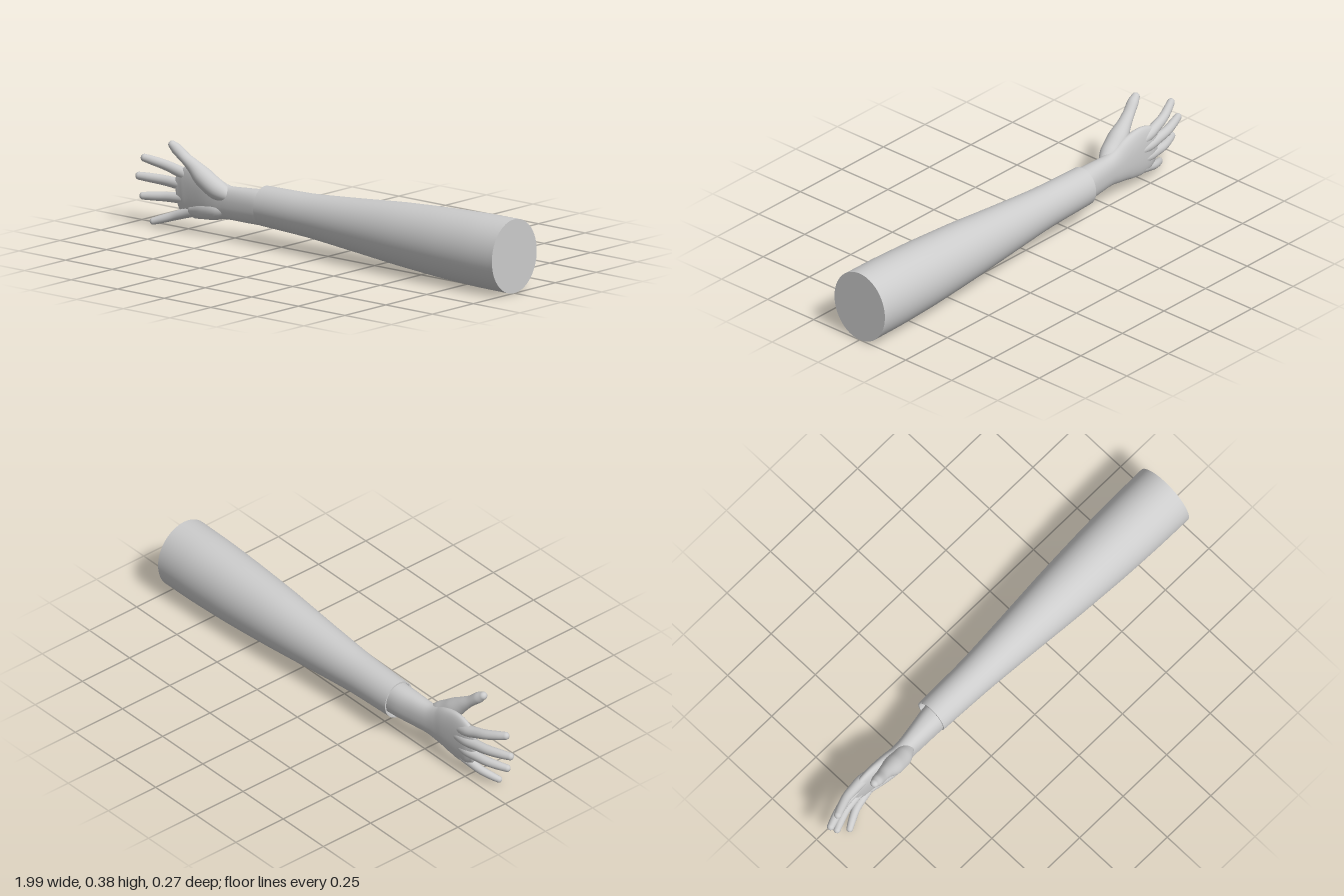
import * as THREE from 'three';

// Smooth loft through sections [x, y, z, half width, half depth]; cap rounds the far end.
function loft(sections, { sides = 24, steps = 5, cap = true, power = 1 } = {}) {
  const path = new THREE.CatmullRomCurve3(sections.map(s => new THREE.Vector3(s[0], s[1], s[2])));
  const size = new THREE.CatmullRomCurve3(sections.map(s => new THREE.Vector3(s[3], s[4], 0)));
  const rings = [];
  const n = (sections.length - 1) * steps;
  for (let i = 0; i <= n; i++) {
    const t = i / n, r = size.getPoint(t);
    const d = path.getPoint(Math.min(1, t + 0.01)).sub(path.getPoint(Math.max(0, t - 0.01))).normalize();
    rings.push({ c: path.getPoint(t), d, a: r.x, b: r.y });
  }
  if (cap) {
    const end = rings[n];
    for (let i = 1; i <= 6; i++) {
      const f = i / 6 * Math.PI / 2, k = Math.max(Math.cos(f), 0.001);
      const c = end.c.clone().addScaledVector(end.d, end.b * Math.sin(f));
      rings.push({ c, d: end.d, a: end.a * k, b: end.b * k });
    }
  }
  const pos = [], index = [];
  const soften = v => Math.sign(v) * Math.abs(v) ** power;
  rings.forEach(({ c, d, a, b }, i) => {
    const side = new THREE.Vector3(0, 0, 1).cross(d).normalize();
    const up = d.clone().cross(side);
    for (let j = 0; j < sides; j++) {
      const q = j / sides * Math.PI * 2;
      const p = c.clone().addScaledVector(side, a * soften(Math.cos(q))).addScaledVector(up, b * soften(Math.sin(q)));
      pos.push(p.x, p.y, p.z);
      if (i === rings.length - 1) continue;
      const k = (j + 1) % sides, r0 = i * sides, r1 = r0 + sides;
      index.push(r0 + j, r0 + k, r1 + j, r0 + k, r1 + k, r1 + j);
    }
  });
  const g = new THREE.BufferGeometry();
  g.setAttribute('position', new THREE.Float32BufferAttribute(pos, 3));
  g.setIndex(index);
  g.computeVertexNormals();
  return g;
}

export function createModel() {
  const model = new THREE.Group();
  model.name = 'arm';
  const grey = new THREE.MeshStandardMaterial({ color: 0xcccccc });
  grey.name = 'plain grey';
  const add = (name, geometry, parent = model) => {
    const mesh = new THREE.Mesh(geometry, grey);
    mesh.name = name;
    parent.add(mesh);
    return mesh;
  };

  // Sleeve, flaring from cuff to shoulder
  add('sleeve', loft([
    [-0.34, 0.158, -0.002, 0.083, 0.073], [-0.1, 0.156, 0, 0.09, 0.08],
    [0.15, 0.155, 0, 0.109, 0.097], [0.4, 0.155, 0, 0.13, 0.116],
    [0.65, 0.154, 0, 0.145, 0.13], [0.85, 0.154, 0, 0.152, 0.136], [1, 0.154, 0, 0.153, 0.137],
  ], { sides: 64, cap: false }));
  const end = add('shoulderEnd', new THREE.CircleGeometry(1, 64));
  end.scale.set(0.137, 0.153, 1);
  end.rotation.y = Math.PI / 2;
  end.position.set(1, 0.154, 0);

  // Cuff: rim, inner wall and the floor of the recess
  const cuff = new THREE.Group();
  cuff.name = 'cuff';
  cuff.position.set(-0.34, 0.158, -0.002);
  cuff.rotation.y = -Math.PI / 2;
  cuff.scale.set(0.073, 0.083, 1);
  model.add(cuff);
  add('cuffRim', new THREE.RingGeometry(0.92, 1, 64), cuff);
  const wall = new THREE.CylinderGeometry(0.92, 0.92, 0.05, 64, 1, true);
  wall.rotateX(Math.PI / 2).translate(0, 0, -0.025).scale(-1, 1, 1);
  const n = wall.attributes.normal;
  for (let i = 0; i < n.count; i++) n.setXYZ(i, -n.getX(i), -n.getY(i), 0);
  add('cuffLining', wall, cuff);
  add('cuffFloor', new THREE.CircleGeometry(0.92, 64).translate(0, 0, -0.05), cuff);

  // Wrist and palm
  const hand = new THREE.Group();
  hand.name = 'hand';
  model.add(hand);
  add('palm', loft([
    [-0.28, 0.152, 0.006, 0.073, 0.058], [-0.35, 0.152, 0.009, 0.073, 0.055],
    [-0.43, 0.15, 0.015, 0.071, 0.047], [-0.51, 0.149, 0.02, 0.069, 0.04],
    [-0.57, 0.152, 0.021, 0.082, 0.037], [-0.63, 0.16, 0.018, 0.1, 0.034],
    [-0.7, 0.163, 0.014, 0.109, 0.028], [-0.755, 0.158, 0.012, 0.097, 0.023],
    [-0.785, 0.155, 0.014, 0.078, 0.016],
  ], { sides: 40, power: 0.88 }), hand);
  add('palmHeel', loft([
    [-0.5, 0.125, 0.025, 0.018, 0.02], [-0.57, 0.107, 0.03, 0.036, 0.034],
    [-0.64, 0.098, 0.026, 0.036, 0.03], [-0.71, 0.088, 0.02, 0.024, 0.02],
  ]), hand);

  // Thumb with its fleshy base
  add('thumb', loft([
    [-0.5, 0.175, 0.03, 0.025, 0.024], [-0.56, 0.203, 0.047, 0.042, 0.042],
    [-0.615, 0.242, 0.058, 0.041, 0.042], [-0.665, 0.285, 0.066, 0.029, 0.03],
    [-0.705, 0.318, 0.076, 0.022, 0.025], [-0.735, 0.345, 0.084, 0.023, 0.024],
    [-0.757, 0.363, 0.089, 0.017, 0.018],
  ]), hand);

  // Fingers: knuckle and tip positions, bending gently forward
  const fingers = [
    ['indexFinger', [-0.77, 0.23, 0.01], [-0.948, 0.28, 0.063], 0.021],
    ['middleFinger', [-0.77, 0.18, 0.006], [-0.985, 0.197, 0.057], 0.021],
    ['ringFinger', [-0.77, 0.126, 0.01], [-0.955, 0.118, 0.065], 0.02],
    ['littleFinger', [-0.735, 0.074, 0.018], [-0.89, 0.021, 0.075], 0.0185],
  ];
  for (const [name, base, tip, r] of fingers) {
    const at = (t, lift, w) => [
      ...base.map((v, i) => v + (tip[i] - v) * t + (i === 2 ? lift : 0)), r * w, r * w * 0.95];
    add(name, loft([
      at(-0.55, 0.028, 0.7), at(-0.1, 0.004, 1.2), at(0.15, -0.004, 1.1), at(0.45, -0.011, 1),
      at(0.75, -0.007, 0.9), at(0.93, -0.002, 0.78),
    ], { sides: 20 }), hand);
  }
  return model;
}
